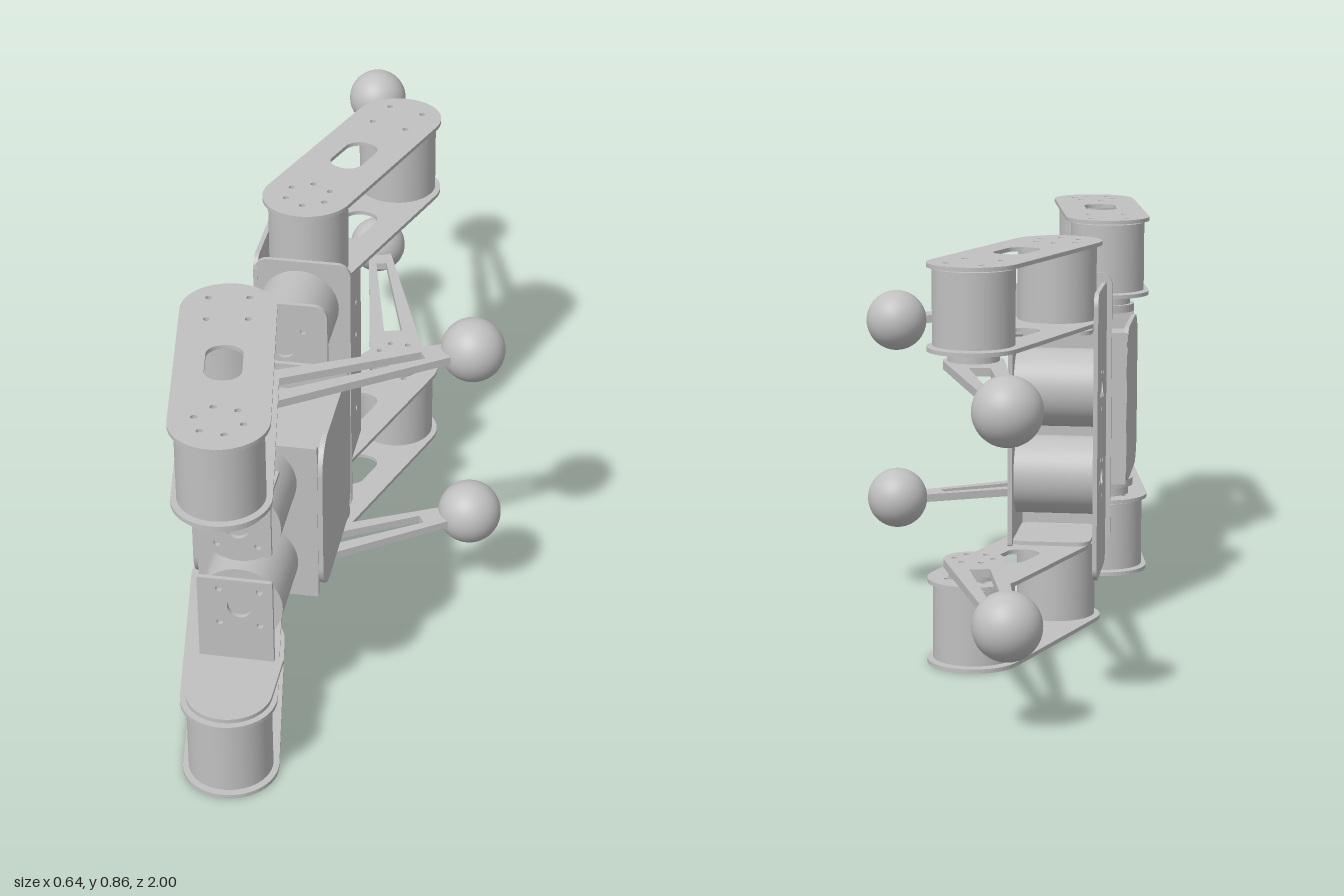
import * as THREE from 'three';

const MID = 0.431; // height of the mirror plane between the two leg pairs

export function createModel() {
  const root = new THREE.Group();
  const grey = new THREE.MeshStandardMaterial({ color: 0xc0c0c0 });
  grey.name = 'light grey';

  const add = (name, geo, parent = root) => {
    const m = new THREE.Mesh(geo, grey);
    m.name = name;
    parent.add(m);
    return m;
  };

  // ---- 2D shape helpers ----
  const roundRect = (target, x0, y0, x1, y1, r) => {
    target.moveTo(x0 + r, y0);
    target.lineTo(x1 - r, y0);
    target.absarc(x1 - r, y0 + r, r, -Math.PI / 2, 0);
    target.lineTo(x1, y1 - r);
    target.absarc(x1 - r, y1 - r, r, 0, Math.PI / 2);
    target.lineTo(x0 + r, y1);
    target.absarc(x0 + r, y1 - r, r, Math.PI / 2, Math.PI);
    target.lineTo(x0, y0 + r);
    target.absarc(x0 + r, y0 + r, r, Math.PI, Math.PI * 1.5);
    return target;
  };
  const rect = (x0, y0, x1, y1, r = 0.004) => roundRect(new THREE.Shape(), x0, y0, x1, y1, r);
  const hole = (s, x, y, r) => s.holes.push(new THREE.Path().absarc(x, y, r, 0, Math.PI * 2, true));
  const ring = (s, x, y, R, n, r = 0.007, a0 = Math.PI / 4) => {
    for (let i = 0; i < n; i++) {
      const a = a0 + (i * Math.PI * 2) / n;
      hole(s, x + R * Math.cos(a), y + R * Math.sin(a), r);
    }
  };
  // outline around two circles of different radius
  const taper = (len, r0, r1) => {
    const a = Math.acos((r0 - r1) / len);
    const s = new THREE.Shape();
    s.absarc(0, 0, r0, a, Math.PI * 2 - a);
    s.absarc(len, 0, r1, -a, a);
    s.closePath();
    return s;
  };

  // ---- plates centred on a plane, facing z, x or y ----
  const extrude = (s, t) =>
    new THREE.ExtrudeGeometry(s, { depth: t, bevelEnabled: false, curveSegments: 14 }).translate(0, 0, -t / 2);
  const plateZ = (s, z, t = 0.01) => extrude(s, t).translate(0, 0, z);
  const plateX = (s, x, t = 0.01) => extrude(s, t).rotateY(-Math.PI / 2).translate(x, 0, 0); // shape is (z, y)
  const plateY = (s, [x, z], y, angle = 0, t = 0.009) =>
    extrude(s, t).rotateZ(angle).rotateX(Math.PI / 2).translate(x, y, z); // shape is (x, z)
  const cyl = (r, h) => new THREE.CylinderGeometry(r, r, h, 48);

  // ---- one leg: two link plates, two motors, foot arm and ball ----
  function leg(name, hip, knee, foot, top) {
    const g = new THREE.Group();
    g.name = name;
    root.add(g);
    const Y = (y) => (top ? y : 2 * MID - y);
    const dir = (a, b) => [Math.atan2(b[1] - a[1], b[0] - a[0]), Math.hypot(b[0] - a[0], b[1] - a[1])];

    const [la, ll] = dir(hip, knee);
    const link = taper(ll, 0.1, 0.0999);
    ring(link, 0, 0, 0.05, 6);
    ring(link, ll, 0, 0.06, 4);
    link.holes.push(roundRect(new THREE.Path(), ll / 2 - 0.065, -0.038, ll / 2 + 0.065, 0.038, 0.034));
    for (const y of [0.858, 0.68]) add('linkPlate', plateY(link, hip, Y(y), la), g);

    for (const p of [hip, knee]) {
      add('legMotor', cyl(0.088, 0.162).translate(p[0], Y(0.769), p[1]), g);
      add('motorShaft', cyl(0.055, 0.172).translate(p[0], Y(0.769), p[1]), g);
    }
    add('kneeHub', cyl(0.055, 0.026).translate(knee[0], Y(0.665), knee[1]), g);

    // slotted arm that narrows towards the ball
    const [aa, al] = dir(knee, foot);
    const arm = taper(al - 0.06, 0.065, 0.028);
    arm.holes.push(new THREE.Path([[0.1, -0.022], [0.1, 0.022], [0.43, 0.013], [0.43, -0.013]]
      .map((p) => new THREE.Vector2(...p))));
    ring(arm, 0, 0, 0.042, 6);
    add('footArm', plateY(arm, knee, Y(0.645), aa, 0.018), g);
    add('footBall', new THREE.SphereGeometry(0.07, 40, 28).translate(foot[0], Y(0.643), foot[1]), g);
  }
  for (const top of [true, false]) {
    leg('frontLeg', [-0.15, 0.9], [-0.22, 0.49], [0.25, 0.215], top);
    leg('rearLeg', [-0.15, -0.01], [-0.015, -0.405], [-0.15, -0.93], top);
  }

  // ---- open torso box ----
  for (const x of [-0.28, -0.011]) add('torsoSide', plateX(rect(0.285, 0.247, 0.612, 0.618, 0.07), x, 0.011));
  add('torsoFrontWall', plateZ(rect(-0.275, 0.245, -0.016, 0.62), 0.608, 0.012));
  add('torsoBackWall', plateZ(rect(-0.285, 0.25, -0.01, 0.612), 0.286, 0.01));
  add('batteryBox', new THREE.BoxGeometry(0.14, 0.3, 0.225).translate(-0.09, MID, 0.45));
  add('controlBox', new THREE.BoxGeometry(0.09, 0.3, 0.2).translate(-0.215, MID, 0.455));

  // tall plate that carries the waist motors
  const mount = rect(-0.25, 0.108, -0.055, 0.755, 0.03);
  for (const y of [0.648, 0.214]) {
    hole(mount, -0.15, y, 0.026);
    ring(mount, -0.15, y, 0.06, 4);
  }
  add('waistMount', plateZ(mount, 0.276, 0.01));

  for (const s of [1, -1]) {
    // waist motors along z
    add('waistMotor', cyl(0.088, 0.166).rotateX(Math.PI / 2).translate(-0.15, MID + s * 0.217, 0.189));

    // front shoulder motors and their L brackets
    const y = MID + s * 0.1;
    add('shoulderMotor', cyl(0.089, 0.164).rotateX(Math.PI / 2).translate(-0.148, y, 0.696));
    const inner = MID + s * 0.033, outer = MID + s * 0.236;
    const face = rect(-0.236, Math.min(inner, outer), -0.078, Math.max(inner, outer));
    hole(face, -0.148, y, 0.026);
    ring(face, -0.148, y, 0.06, 4);
    add('shoulderBracket', plateZ(face, 0.783));
    const flange = new THREE.Shape();
    flange.moveTo(-0.238, 0.778);
    flange.lineTo(-0.06, 0.778);
    flange.lineTo(-0.06, 0.9);
    flange.absarc(-0.149, 0.9, 0.089, 0, Math.PI);
    flange.closePath();
    add('shoulderFlange', plateY(flange, [0, 0], MID + s * 0.237));

    // rear hip motors along x
    add('hipMotor', cyl(0.088, 0.18).rotateZ(Math.PI / 2).translate(-0.152, y, -0.005));
    // rear bracket flange below the leg
    add('hipFlange', plateY(rect(-0.235, -0.11, -0.055, 0.085, 0.03), [0, 0], MID + s * 0.238));
  }

  // ---- rear hip frame: two tall plates meeting at a corner ----
  const side = rect(-0.118, 0.108, 0.106, 0.758, 0.03);
  const plate = rect(-0.06, 0.186, 0, 0.676);
  plate.curves.length = 0;
  roundRect(plate, -0.115, 0.186, 0.088, 0.676, 0.004);
  for (const y of [MID + 0.1, MID - 0.1]) {
    hole(side, -0.005, y, 0.022);
    ring(side, -0.005, y, 0.045, 5);
    ring(plate, -0.01, y, 0.06, 4);
  }
  add('hipSidePlate', plateX(side, -0.247));
  add('hipBracket', plateX(plate, -0.057));
  add('hipFrontPlate', plateZ(rect(-0.25, 0.108, -0.036, 0.758, 0.03), 0.1));

  return root;
}
